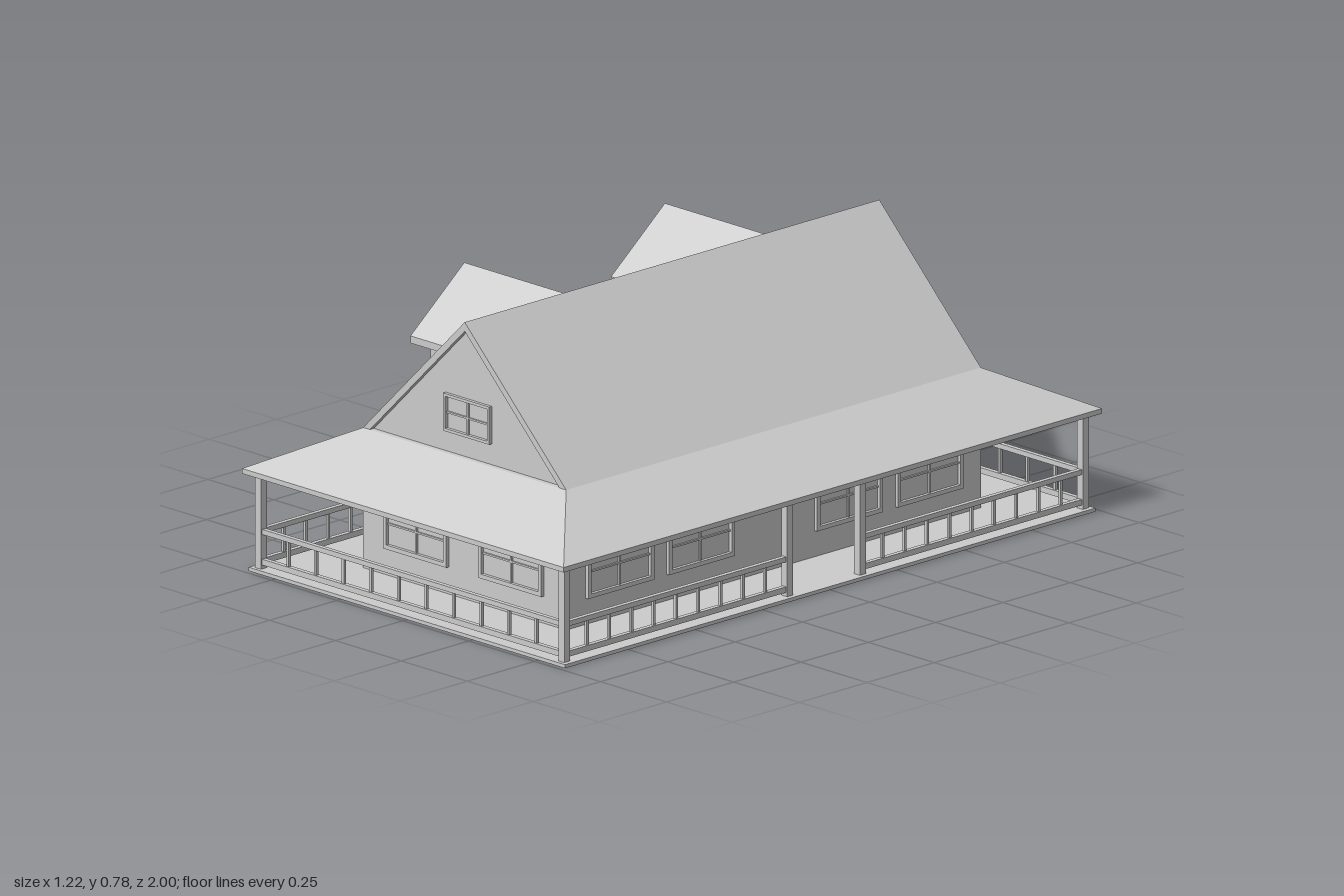
import * as THREE from 'three';

const mat = new THREE.MeshStandardMaterial({ color: 0xcccccc, flatShading: true, side: THREE.DoubleSide });

function add(parent, name, geometry, x = 0, y = 0, z = 0) {
  const mesh = new THREE.Mesh(geometry, mat);
  mesh.name = name;
  mesh.position.set(x, y, z);
  parent.add(mesh);
  return mesh;
}

function group(parent, name, x = 0, y = 0, z = 0, turn = 0) {
  const g = new THREE.Group();
  g.name = name;
  g.position.set(x, y, z);
  g.rotation.y = turn;
  parent.add(g);
  return g;
}

const box = (w, h, d) => new THREE.BoxGeometry(w, h, d);
const polygon = pts => new THREE.Shape(pts.map(p => new THREE.Vector2(...p)));
const rect = (w, h) => polygon([[-w / 2, -h / 2], [w / 2, -h / 2], [w / 2, h / 2], [-w / 2, h / 2]]);
const extrude = (shape, depth) => new THREE.ExtrudeGeometry(shape, { depth, bevelEnabled: false });

function frame(w, h, holeW, holeH, depth) {
  const shape = rect(w, h);
  shape.holes.push(rect(holeW, holeH));
  return extrude(shape, depth);
}

// Skin between successive loops of equal length
function skin(loops, closed) {
  const pos = [], n = loops[0].length, m = loops.length;
  for (let j = 0; j < (closed ? m : m - 1); j++) {
    for (let i = 0; i < n; i++) {
      const a = loops[j][i], b = loops[j][(i + 1) % n];
      const c = loops[(j + 1) % m][(i + 1) % n], d = loops[(j + 1) % m][i];
      pos.push(...a, ...b, ...c, ...a, ...c, ...d);
    }
  }
  const g = new THREE.BufferGeometry();
  g.setAttribute('position', new THREE.Float32BufferAttribute(pos, 3));
  g.computeVertexNormals();
  return g;
}

// Main dimensions
const HX = 0.385, HZ = 0.77, EAVE = 0.4, RIDGE = 0.78;
const SLOPE = Math.hypot(HX, RIDGE - EAVE);
const DORMERS = [0.37, -0.375];

// Framed window with a cross of glazing bars, facing local +z
function addWindow(parent, name, x, y, z, turn, w, h, t = 0.012) {
  const g = group(parent, name, x, y, z, turn);
  add(g, 'windowFrame', frame(w, h, w - 2 * t, h - 2 * t, 0.01));
  add(g, 'verticalBar', box(0.005, h - 2 * t, 0.034), 0, 0, -0.012);
  add(g, 'horizontalBar', box(w - 2 * t, 0.005, 0.034), 0, 0, -0.012);
}

function addWalls(house) {
  const walls = group(house, 'walls');
  for (const s of [1, -1]) {
    const turn = s > 0 ? 0 : Math.PI;
    add(walls, 'sideWall', box(0.02, EAVE - 0.015, 2 * HZ), s * (HX - 0.01), (EAVE - 0.015) / 2, 0);
    add(walls, 'endWall', box(2 * HX, EAVE, 0.02), 0, EAVE / 2, s * (HZ - 0.01));
    const end = group(walls, 'gableEnd', 0, 0, 0, turn);
    add(end, 'gable', extrude(polygon([[-0.37, 0.39], [0.37, 0.39], [0, 0.76]]), 0.02), 0, 0, 0.735);
    addWindow(end, 'gableWindow', 0, 0.51, 0.755, 0, 0.175, 0.105, 0.008);
    for (const x of [-0.18, 0.18]) addWindow(end, 'endWindow', x, 0.155, HZ, 0, 0.24, 0.14);
    for (const z of [-0.575, -0.275, 0.275, 0.575])
      addWindow(walls, 'sideWindow', s * HX, 0.155, z, s * Math.PI / 2, 0.245, 0.145);
  }
}

function addRoof(house) {
  const up = x => (x + HX) * SLOPE / HX; // distance up the slope at a given x
  const dx = HX / SLOPE, dy = (RIDGE - EAVE) / SLOPE;
  for (const s of [-1, 1]) {
    const shape = polygon([[-HZ, 0], [HZ, 0], [HZ, SLOPE], [-HZ, SLOPE]]);
    // Openings into the dormers
    if (s < 0) for (const c of DORMERS) shape.holes.push(polygon([
      [c - 0.155, up(-0.355)], [c + 0.155, up(-0.355)], [c + 0.155, up(-0.2)],
      [c, up(-0.05)], [c - 0.155, up(-0.2)]]));
    const geo = extrude(shape, 0.018).translate(0, 0, -0.018);
    geo.applyMatrix4(new THREE.Matrix4().makeBasis(
      new THREE.Vector3(0, 0, 1), new THREE.Vector3(dx, dy, 0), new THREE.Vector3(-dy, dx, 0)));
    geo.translate(-HX, EAVE, 0);
    add(house, 'mainRoofSlope', geo).rotation.y = s < 0 ? 0 : Math.PI;
  }
  // Hipped porch roof with fascia and flat soffit
  const ring = (x, z, y) => [[x, y, z], [x, y, -z], [-x, y, -z], [-x, y, z]];
  add(house, 'porchRoof', skin([
    ring(HX, HZ, 0.272), ring(0.61, 1, 0.272), ring(0.61, 1, 0.286), ring(HX, HZ, EAVE)]));
}

function addDormer(house, z) {
  const d = group(house, 'dormer', 0, 0, z);
  const front = polygon([[-0.165, 0.405], [0.165, 0.405], [0.165, 0.61], [0, 0.745], [-0.165, 0.61]]);
  add(d, 'dormerFront', extrude(front, 0.01), -0.36, 0, 0).rotation.y = -Math.PI / 2;
  for (const s of [1, -1]) {
    const cheek = polygon([[-0.37, 0.405], [-0.165, 0.61], [-0.37, 0.61]]);
    add(d, 'dormerCheek', extrude(cheek, 0.01), 0, 0, s * 0.16 - 0.005);
    // Roof slab: top outline and the same outline lowered
    let top = [[-0.41, 0.605, s * 0.2], [-0.177, 0.605, s * 0.2], [-0.015, 0.765, 0], [-0.41, 0.765, 0]];
    if (s < 0) top = top.reverse();
    const low = top.map(([x, y, zz]) => [x, y - 0.02, zz]);
    const mid = k => top.map(() => [-0.25, k, s * 0.1]);
    add(d, 'dormerRoof', skin([mid(0.665), low, top, mid(0.685)]));
    addWindow(d, 'dormerWindow', -0.37, 0.53, s * 0.075, -Math.PI / 2, 0.085, 0.14, 0.01);
  }
}

// Railing run along local x between two posts
function addRailing(parent, x, z, turn, length, panels) {
  const g = group(parent, 'railing', x, 0, z, turn);
  add(g, 'topRail', box(length, 0.014, 0.014), 0, 0.113, 0);
  add(g, 'bottomRail', box(length, 0.016, 0.014), 0, 0.029, 0);
  for (let i = 1; i < panels; i++)
    add(g, 'baluster', box(0.008, 0.075, 0.008), -length / 2 + i * length / panels, 0.071, 0);
}

function addPorch(house) {
  const porch = group(house, 'porch');
  const deck = frame(1.2, 1.97, 0.75, 1.52, 0.01);
  deck.rotateX(-Math.PI / 2);
  add(porch, 'deck', deck);
  const px = 0.575, pz = 0.963, gap = 0.135;
  for (const s of [1, -1]) {
    for (const z of [pz, gap, -gap, -pz])
      add(porch, 'post', box(0.022, 0.265, 0.022), s * px, 0.1405, z);
    addRailing(porch, 0, s * pz, 0, 2 * px, 11);
    for (const e of [1, -1])
      addRailing(porch, s * px, e * (pz + gap) / 2, Math.PI / 2, pz - gap, 10);
  }
}

export function createModel() {
  const house = new THREE.Group();
  house.name = 'house';
  addWalls(house);
  addRoof(house);
  for (const z of DORMERS) addDormer(house, z);
  addPorch(house);
  return house;
}
